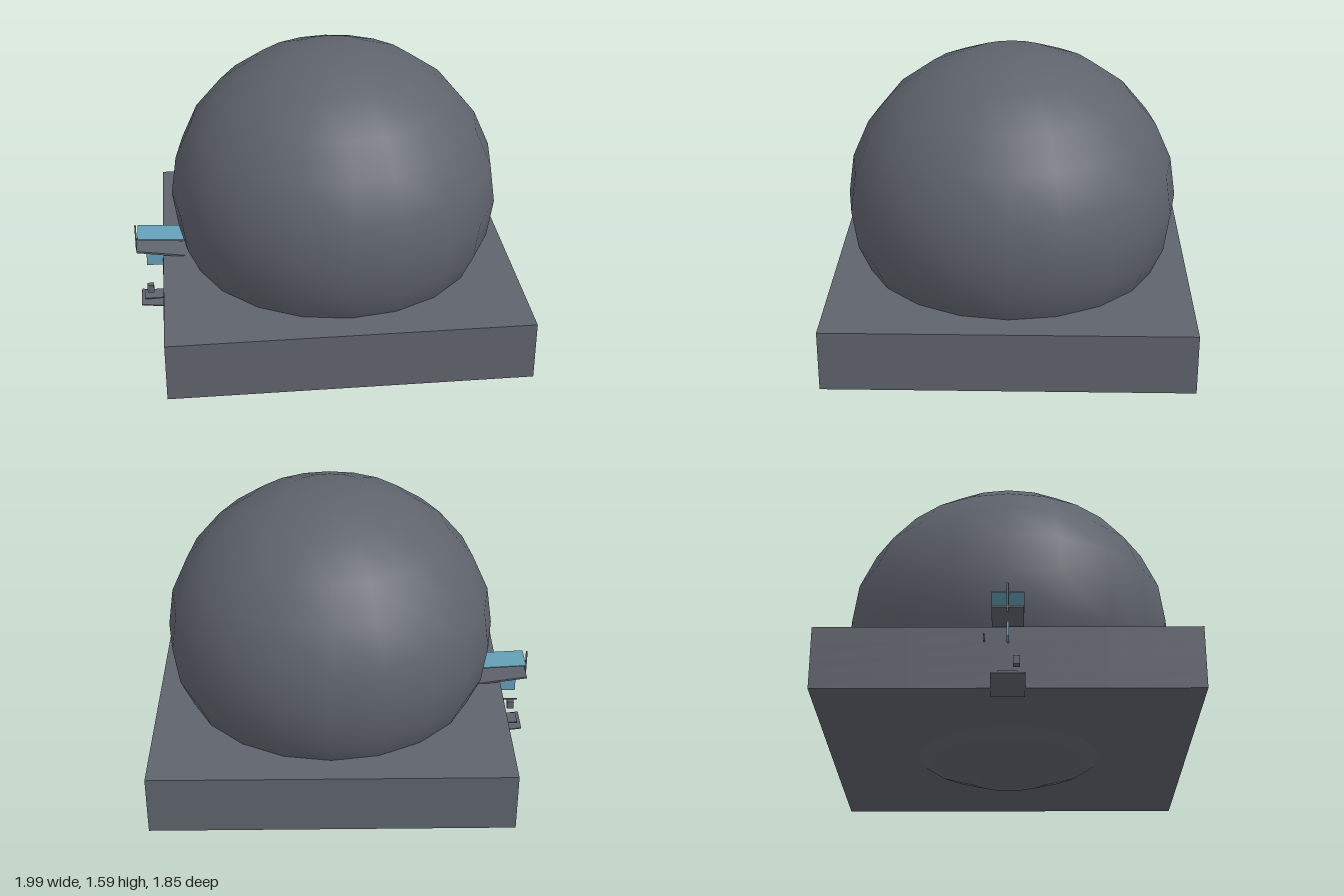
import * as THREE from 'three';

const slate = new THREE.MeshStandardMaterial({ color: 0x5f636c });
const blue = new THREE.MeshStandardMaterial({ color: 0x64a0b8 });

export function createModel() {
  const model = new THREE.Group();

  const add = (name, geometry, material, x, y, z, parent = model) => {
    const mesh = new THREE.Mesh(geometry, material);
    mesh.name = name;
    mesh.position.set(x, y, z);
    parent.add(mesh);
    return mesh;
  };

  // Large faceted-outline ball, slightly flattened, sunk through the slab
  const ball = new THREE.SphereGeometry(1, 20, 12).scale(0.86, 0.797, 0.86);
  add('ball', ball, slate, 0.07, 0.8, 0);

  // Square slab whose faces bulge very slightly away from the corners
  const size = new THREE.Vector3(1.84, 0.312, 1.84);
  const slab = new THREE.BoxGeometry(size.x, size.y, size.z, 4, 4, 4);
  const normals = slab.attributes.normal.clone();
  const pos = slab.attributes.position;
  const p = new THREE.Vector3();
  const bulge = (a, b) => 0.006 * (1 - a ** 4) * (1 - b ** 4);
  for (let i = 0; i < pos.count; i++) {
    p.fromBufferAttribute(pos, i);
    const [u, v, w] = [2 * p.x / size.x, 2 * p.y / size.y, 2 * p.z / size.z];
    if (Math.abs(u) > 0.99) p.x += Math.sign(u) * bulge(v, w);
    if (Math.abs(v) > 0.99) p.y += Math.sign(v) * bulge(u, w);
    if (Math.abs(w) > 0.99) p.z += Math.sign(w) * bulge(u, v);
    pos.setXYZ(i, p.x, p.y, p.z);
  }
  slab.setAttribute('normal', normals);
  add('slab', slab, slate, 0.067, 0.296, 0);

  // Small fittings on the right-hand side of the slab
  const fittings = new THREE.Group();
  fittings.name = 'sideFittings';
  model.add(fittings);

  // Thin plate running from an outer edge to an inner edge, sloping in y
  const plate = (name, material, [x0, y0], [x1, y1], width, thickness = 0.006) => {
    const geometry = new THREE.BoxGeometry(Math.hypot(x1 - x0, y1 - y0), thickness, width);
    const mesh = add(name, geometry, material, (x0 + x1) / 2, (y0 + y1) / 2, 0, fittings);
    mesh.rotation.z = Math.atan2(y1 - y0, x1 - x0);
  };
  plate('upperPlate', blue, [-0.985, 0.567], [-0.74, 0.554], 0.155);
  plate('middlePlate', slate, [-0.995, 0.49], [-0.73, 0.45], 0.15, 0.01);
  plate('shortPlate', slate, [-0.965, 0.176], [-0.8, 0.176], 0.09);
  plate('lowerPlate', slate, [-0.985, 0.16], [-0.77, 0.133], 0.16);

  const block = (name, material, w, h, d, x, y, z) =>
    add(name, new THREE.BoxGeometry(w, h, d), material, x, y, z, fittings);
  block('outerPost', slate, 0.008, 0.15, 0.01, -0.996, 0.535, 0);
  block('blueTab', blue, 0.11, 0.074, 0.01, -0.89, 0.402, 0);
  block('sideBar', slate, 0.09, 0.006, 0.006, -0.9, 0.375, -0.11);
  block('smallBlock', slate, 0.036, 0.044, 0.03, -0.932, 0.242, 0.04);

  return model;
}
